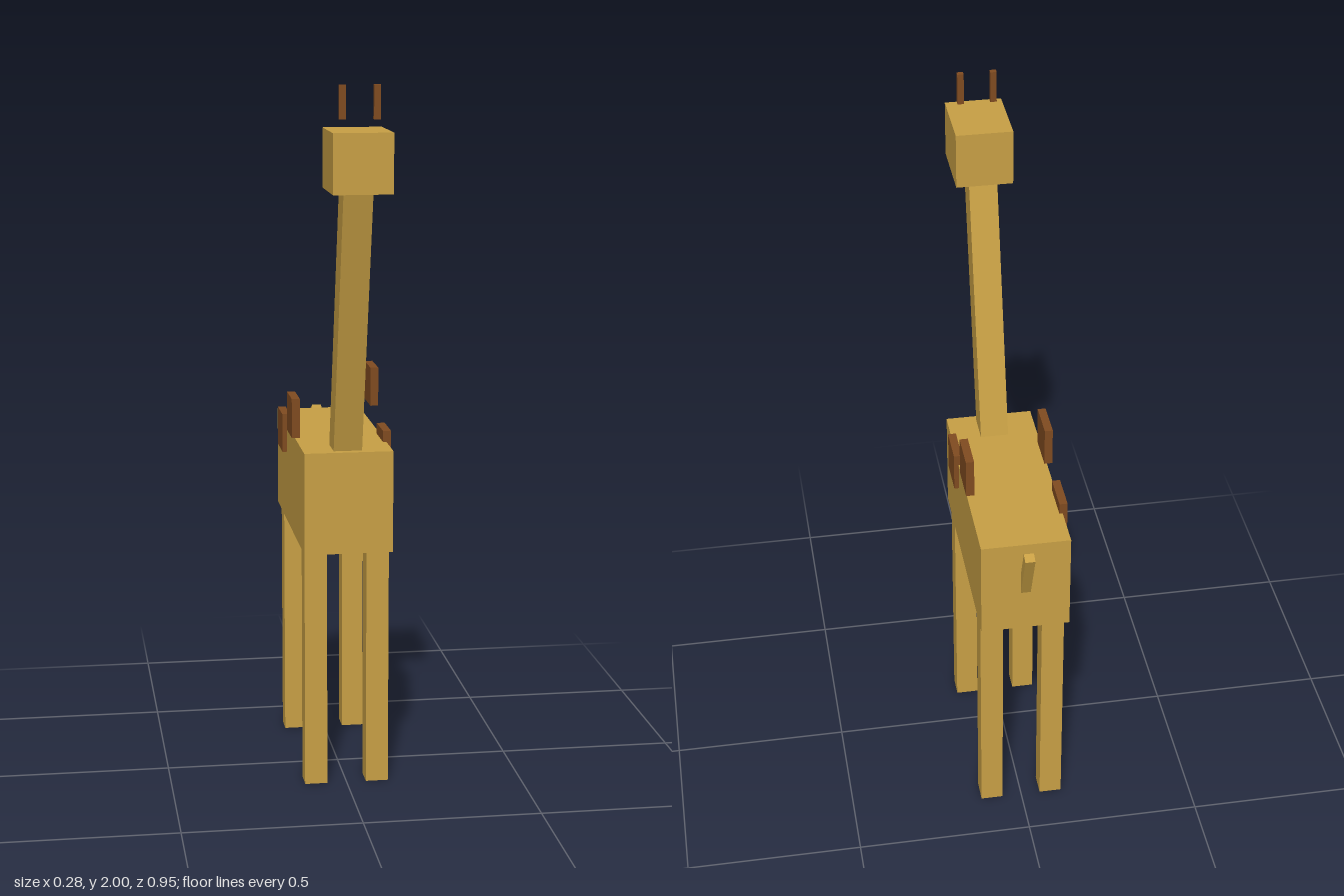
import * as THREE from 'three';

export function createModel() {
  const model = new THREE.Group();
  model.name = 'giraffe';

  const tan = new THREE.MeshStandardMaterial({ color: 0xc8a045 });
  tan.name = 'tan hide';
  const brown = new THREE.MeshStandardMaterial({ color: 0x804b20 });
  brown.name = 'brown patches';

  // Adds a box of the given size, centred at the given point and tilted about x
  function addBox(name, material, size, position, tilt = 0) {
    const mesh = new THREE.Mesh(new THREE.BoxGeometry(...size), material);
    mesh.name = name;
    mesh.position.set(...position);
    mesh.rotation.x = tilt;
    model.add(mesh);
  }

  // Trunk, leaning neck and head
  addBox('body', tan, [0.25, 0.29, 0.635], [0, 0.835, -0.0925]);
  addBox('neck', tan, [0.08, 0.82, 0.085], [0, 1.35, 0.254], 0.25);
  addBox('head', tan, [0.16, 0.16, 0.205], [0, 1.8, 0.375]);

  // Tail, slanting up and back out of the rump
  addBox('tail', tan, [0.028, 0.24, 0.027], [0, 0.865, -0.417], -0.4);

  // Legs and horns, mirrored left and right
  for (const [side, s] of [['left', 1], ['right', -1]]) {
    addBox(`${side}FrontLeg`, tan, [0.064, 0.7, 0.064], [s * 0.088, 0.35, 0.153]);
    addBox(`${side}BackLeg`, tan, [0.064, 0.7, 0.064], [s * 0.088, 0.35, -0.328]);
    addBox(`${side}Horn`, brown, [0.018, 0.09, 0.016], [s * 0.046, 1.955, 0.408]);
  }

  // Square patches along both flanks: [x, y, z]
  const patches = [
    [0.127, 0.955, 0.045],
    [0.127, 1.095, -0.184],
    [-0.127, 1.045, -0.001],
    [-0.127, 0.955, -0.229],
  ];
  patches.forEach((p, i) => addBox(`patch${i + 1}`, brown, [0.023, 0.113, 0.113], p));

  return model;
}
